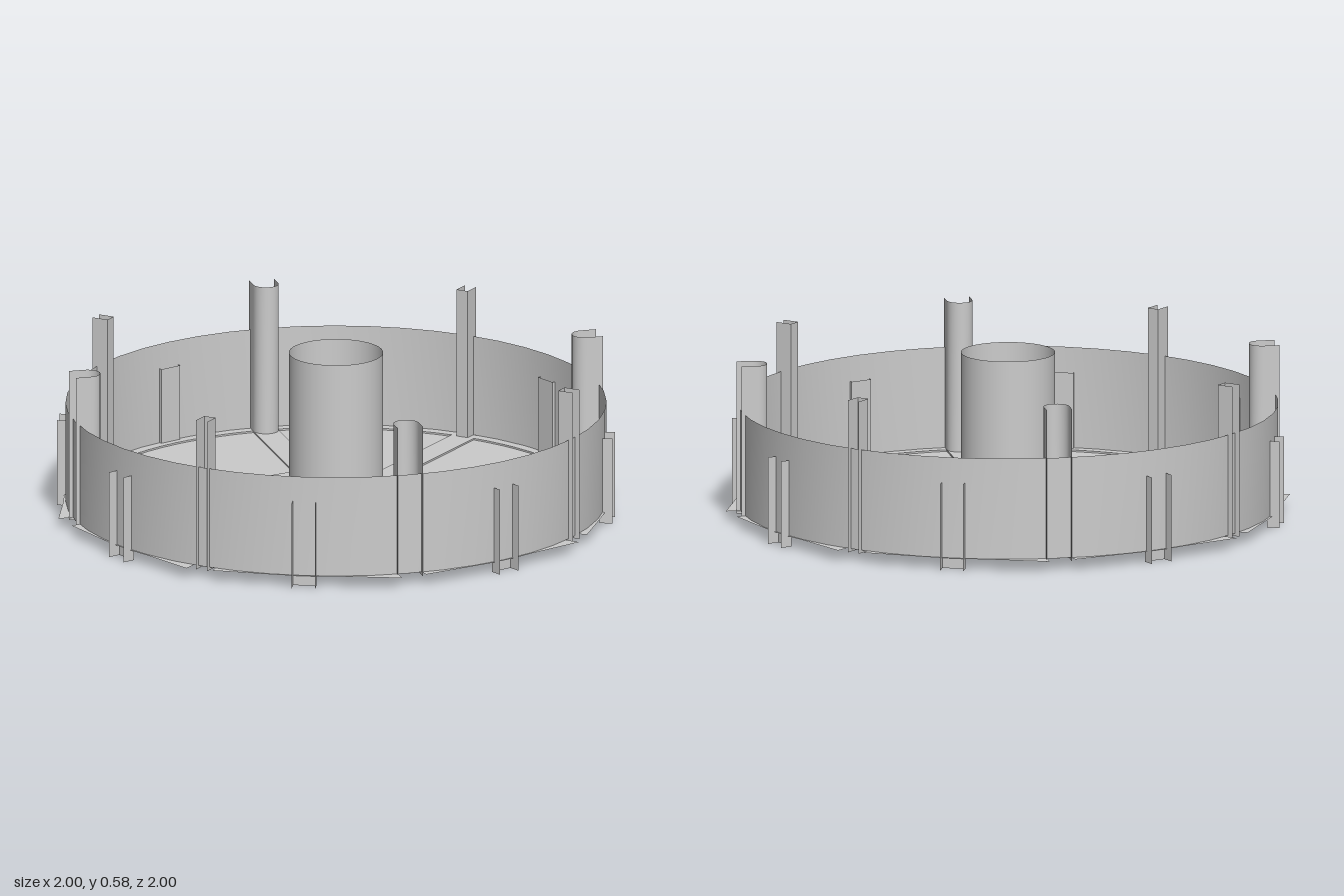
import * as THREE from 'three';
import { toCreasedNormals } from 'three/addons/utils/BufferGeometryUtils.js';

const material = new THREE.MeshStandardMaterial({ color: 0xcccccc, side: THREE.DoubleSide });
const EIGHTH = Math.PI / 4;
const FLOOR = 0.04;
const PANEL = 0.034;

// Plan point at radius r, angle a clockwise from the back.
const polar = (r, a) => new THREE.Vector2(r * Math.sin(a), r * Math.cos(a));
const deg = THREE.MathUtils.degToRad;

function arc(r, a0, a1, n) {
  return Array.from({ length: n + 1 }, (_, i) => polar(r, a0 + ((a1 - a0) * i) / n));
}

function add(group, name, geometry) {
  const mesh = new THREE.Mesh(geometry, material);
  mesh.name = name;
  group.add(mesh);
  return mesh;
}

// Thin upright sheet following a plan line.
function strip(points, y0, y1) {
  const pos = [], index = [];
  points.forEach((p, i) => {
    pos.push(p.x, y0, -p.y, p.x, y1, -p.y);
    if (i) {
      const b = 2 * i;
      index.push(b - 2, b - 1, b, b, b - 1, b + 1);
    }
  });
  const geo = new THREE.BufferGeometry();
  geo.setAttribute('position', new THREE.Float32BufferAttribute(pos, 3));
  geo.setIndex(index);
  return toCreasedNormals(geo, 0.7);
}

// Flat sheet from a plan shape at height y.
function sheet(shape, y) {
  return new THREE.ShapeGeometry(shape).rotateX(-Math.PI / 2).translate(0, y, 0);
}

// Outline of one sunken floor panel between two spokes.
function panelOutline(k) {
  const inner = 0.385, outer = 0.91, half = 0.045;
  const a = k * EIGHTH, b = a + EIGHTH;
  const di = Math.asin(half / inner), dout = Math.asin(half / outer);
  return [...arc(outer, a + dout, b - dout, 10), ...arc(inner, b - di, a + di, 6)];
}

export function createModel() {
  const model = new THREE.Group();
  model.name = 'drum';

  // Floor with pointed tips beside each notch
  const outline = [];
  for (let k = 0; k < 8; k++) {
    const a = k * EIGHTH;
    outline.push(polar(0.945, a + deg(2.4)), polar(1.0, a + deg(2.4)));
    outline.push(...arc(0.955, a + deg(15), a + deg(30), 4));
    outline.push(polar(0.98, a + deg(41.9)), polar(0.945, a + deg(42.3)), polar(0.95, a + EIGHTH));
  }
  const floor = new THREE.Shape(outline);
  floor.holes.push(new THREE.Path(arc(0.33, 0, Math.PI * 2, 48).slice(0, -1)));

  for (let k = 0; k < 8; k++) {
    const pts = panelOutline(k);
    floor.holes.push(new THREE.Path(pts));
    add(model, 'floorPanel', sheet(new THREE.Shape(pts), PANEL));
    add(model, 'panelEdge', strip([...pts, pts[0]], PANEL, FLOOR));
  }
  add(model, 'floor', sheet(floor, FLOOR));

  // Outer wall
  add(model, 'outerWall', strip(arc(0.948, 0, Math.PI * 2, 48), FLOOR, 0.4));

  // Dished hub and centre tube
  const dish = [[0.165, 0.005], [0.245, 0.005], [0.33, FLOOR]].map(([x, y]) => new THREE.Vector2(x, y));
  add(model, 'hubDish', toCreasedNormals(new THREE.LatheGeometry(dish, 48), 0.3));
  const tube = new THREE.CylinderGeometry(0.165, 0.165, 0.575, 48, 1, true);
  add(model, 'centreTube', tube.translate(0, 0.2925, 0));

  // Channel sections, open outwards (x is sideways, y is radius)
  const w = 0.045;
  const roundPlan = [new THREE.Vector2(w, 0.96)];
  for (let i = 0; i <= 12; i++) {
    const t = (Math.PI * i) / 12;
    roundPlan.push(new THREE.Vector2(w * Math.cos(t), 0.905 - w * Math.sin(t)));
  }
  roundPlan.push(new THREE.Vector2(-w, 0.96));
  const channel = (half, rOut, rIn) => [[half, rOut], [half, rIn], [-half, rIn], [-half, rOut]]
    .map(([x, y]) => new THREE.Vector2(x, y));

  const roundPost = strip(roundPlan, 0.03, 0.575);
  const narrowPost = strip(channel(0.022, 0.965, 0.905), 0.03, 0.575);
  const clip = strip(channel(0.041, 0.98, 0.935), 0, 0.31);

  for (let k = 0; k < 8; k++) {
    const a = k * EIGHTH, mid = a + EIGHTH / 2;
    // Tall posts, wide and narrow in turn
    const post = k % 2 ? add(model, 'narrowPost', narrowPost) : add(model, 'roundPost', roundPost);
    post.rotation.y = -a;
    // Short wall clips halfway between
    add(model, 'wallClip', clip).rotation.y = -mid;
    // Small hollow lugs on the hub slope
    const lug = new THREE.Group();
    lug.name = 'hubLug';
    lug.rotation.y = -mid;
    for (const s of [-1, 1]) {
      add(lug, 'lugCheek', new THREE.BoxGeometry(0.008, 0.035, 0.038)).position.set(s * 0.023, 0.027, -0.3);
    }
    add(lug, 'lugBridge', new THREE.BoxGeometry(0.054, 0.035, 0.01)).position.set(0, 0.027, -0.286);
    model.add(lug);
  }
  return model;
}
